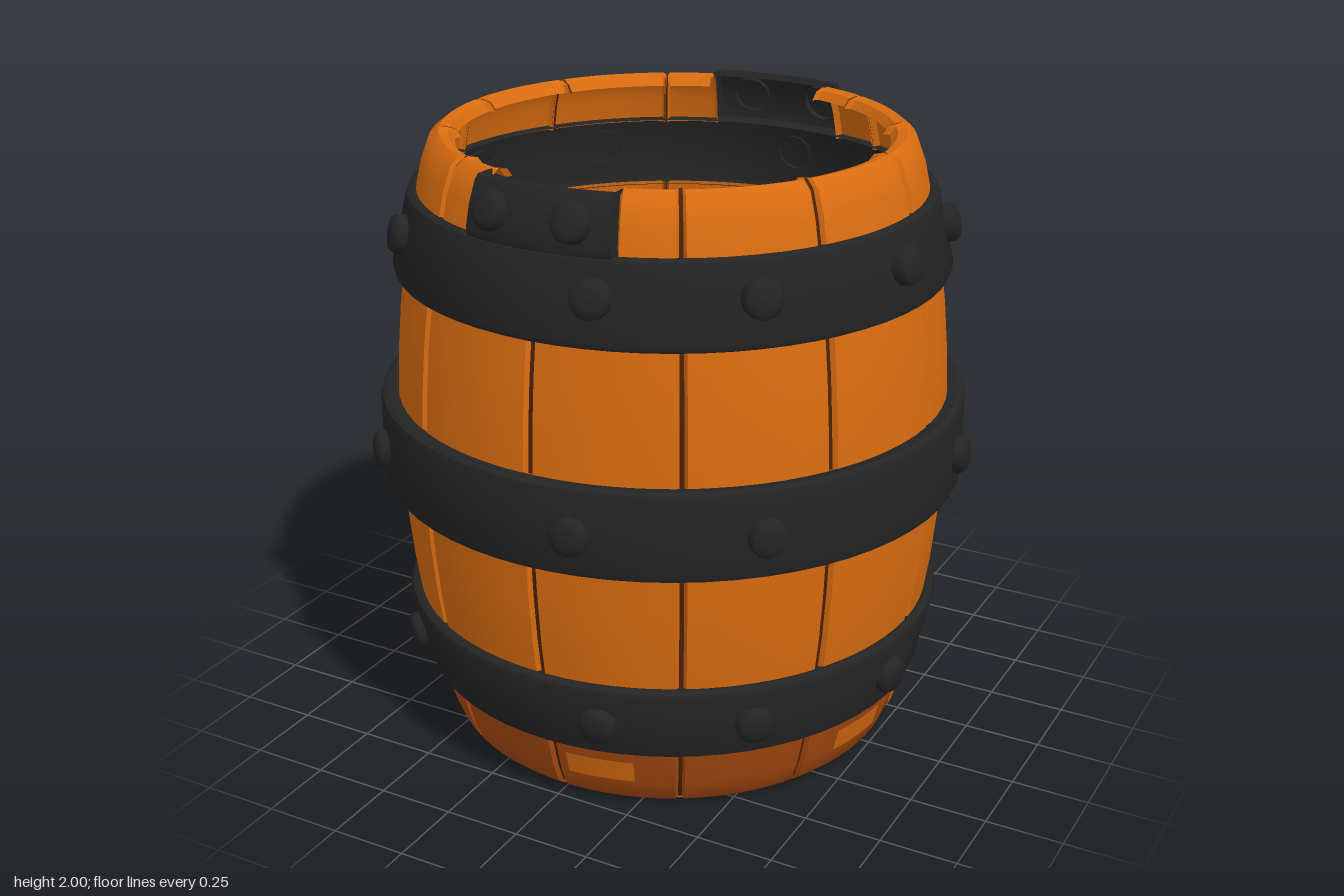
import * as THREE from 'three';
import { toCreasedNormals } from 'three/addons/utils/BufferGeometryUtils.js';

const Z0 = -0.02; // barrel axis
const rad = THREE.MathUtils.degToRad;

const material = (name, color, side = THREE.DoubleSide) => {
  const m = new THREE.MeshStandardMaterial({ color, side });
  m.name = name;
  return m;
};

// Sweeps a bottom-to-top [radius, y] profile around the axis at the given columns [degrees, inset]
function sweep(profile, columns) {
  const pos = [], index = [], n = profile.length;
  for (const [deg, inset] of columns) {
    const a = rad(deg);
    for (const [r, y] of profile) pos.push(Math.sin(a) * (r - inset), y, Math.cos(a) * (r - inset));
  }
  for (let c = 0; c < columns.length - 1; c++) {
    for (let i = 0; i < n - 1; i++) {
      const p = c * n + i, q = p + n;
      index.push(p, q, q + 1, p, q + 1, p + 1);
    }
  }
  const g = new THREE.BufferGeometry();
  g.setAttribute('position', new THREE.Float32BufferAttribute(pos, 3));
  g.setIndex(index);
  return toCreasedNormals(g, 0.6);
}

// Evenly spaced columns, with optional inset edges that round off the ends
function columns(a0, a1, steps, edge = 0, bevel = 1) {
  const list = edge ? [[a0, edge]] : [];
  const s = edge ? a0 + bevel : a0, e = edge ? a1 - bevel : a1;
  for (let i = 0; i <= steps; i++) list.push([s + ((e - s) * i) / steps, 0]);
  if (edge) list.push([a1, edge]);
  return list;
}

export function createModel() {
  const wood = material('orange wood', 0xd96c10);
  const darkWood = material('dark wood', 0xa84a10);
  const seam = material('seam brown', 0x4a2008);
  const iron = material('black iron', 0x242424);

  const model = new THREE.Group();
  model.name = 'barrel';
  const barrel = new THREE.Group();
  barrel.name = 'barrelBody';
  barrel.position.z = Z0;
  model.add(barrel);

  const add = (name, geometry, mat) => {
    const mesh = new THREE.Mesh(geometry, mat);
    mesh.name = name;
    barrel.add(mesh);
    return mesh;
  };

  // Stave sections between the iron bands
  const sections = [
    { name: 'staveFoot', mat: darkWood, profile: [[0.6, 0.012], [0.68, 0], [0.715, 0.006], [0.742, 0.03], [0.77, 0.1], [0.805, 0.235]] },
    { name: 'lowerStave', mat: wood, profile: [[0.85, 0.475], [0.868, 0.6], [0.882, 0.75], [0.89, 0.895]] },
    { name: 'upperStave', mat: wood, profile: [[0.89, 1.16], [0.882, 1.3], [0.868, 1.45], [0.85, 1.58]] },
    { name: 'staveRim', mat: wood, rim: true, profile: [[0.805, 1.81], [0.785, 1.9], [0.757, 1.975], [0.725, 2], [0.695, 1.992], [0.675, 1.965]] },
  ];
  for (const { name, mat, rim, profile } of sections) {
    const groove = profile.map(([r, y]) => [r - 0.015, y]);
    for (let k = 0; k < 12; k++) {
      let a0 = k * 30 + 0.25, a1 = k * 30 + 29.75;
      // The rim is cut away behind the two brackets
      if (rim && k % 6 === 0) a0 += 16.5;
      if (rim && k % 6 === 5) a1 -= 16.5;
      add(name, sweep(profile, columns(a0, a1, 6, 0.02, 0.8)), mat);
      if (!rim || k % 6 !== 0) add(name + 'Seam', sweep(groove, columns(k * 30 - 0.5, k * 30 + 0.5, 1)), seam);
    }
  }

  // Worn bright patches on the stave feet
  for (const [a0, a1] of [[2, 21], [68, 87], [92, 116]]) {
    const cols = columns(a0 + 1.5, a1 - 1.5, 5);
    add('wornPatch', sweep([[0.778, 0.105], [0.8, 0.185]], cols), wood);
  }

  // Floor in four quarters, marked by crossed joints and short cracks
  const floor = add('floor', new THREE.CircleGeometry(0.72, 48), darkWood);
  floor.rotation.x = -Math.PI / 2;
  floor.position.y = 0.014;
  for (const turn of [0, 90]) {
    const joint = add('floorJoint', new THREE.BoxGeometry(1.38, 0.009, 0.014), seam);
    joint.rotation.y = rad(turn);
    joint.position.y = 0.014;
  }
  for (let k = 0; k < 12; k++) {
    if (k % 3 === 0) continue;
    const a = rad(k * 30);
    const crack = add('floorCrack', new THREE.BoxGeometry(0.006, 0.008, 0.16), seam);
    crack.rotation.y = a;
    crack.position.set(Math.sin(a) * 0.6, 0.012, Math.cos(a) * 0.6);
  }

  // Domed rivet, facing outward at the given angle
  const rivetGeometry = new THREE.LatheGeometry(
    [[0.062, -0.015], [0.061, 0.02], [0.052, 0.034], [0.03, 0.04], [0, 0.042]].map(([x, y]) => new THREE.Vector2(x, y)), 12);
  function rivet(deg, r, y, tilt = 0) {
    const a = rad(deg);
    const m = add('rivet', rivetGeometry, iron);
    m.rotation.order = 'YXZ';
    m.rotation.set(Math.PI / 2 - tilt, a, 0);
    m.position.set(Math.sin(a) * r, y, Math.cos(a) * r);
  }

  // Iron bands with softened edges: [bottom y, top y, bottom radius, top radius, rivet angles]
  const bands = [
    ['lowerBand', 0.225, 0.487, 0.835, 0.885, [-46, 13, 45, 81, 135, 178, 225, 260]],
    ['middleBand', 0.883, 1.172, 0.947, 0.947, [-45, 10, 45, 99, 140, 182, 221, 261]],
    ['upperBand', 1.567, 1.828, 0.885, 0.835, [-46, 13, 45, 80, 111, 137, 178, 225, 260]],
  ];
  for (const [name, y0, y1, r0, r1, angles] of bands) {
    const profile = [[r0 - 0.06, y0 + 0.008], [r0 - 0.022, y0], [r0 - 0.006, y0 + 0.008], [r0, y0 + 0.025],
      [r1, y1 - 0.025], [r1 - 0.006, y1 - 0.008], [r1 - 0.022, y1], [r1 - 0.06, y1 - 0.008]];
    add(name, sweep(profile, columns(0, 360, 64)), iron);
    const tilt = Math.atan2(r0 - r1, y1 - y0);
    for (const a of angles) rivet(a, (r0 + r1) / 2, (y0 + y1) / 2 - 0.005 + (name === 'upperBand' ? 0.025 : 0), tilt);
  }

  // Rim brackets at front and back
  const bracketProfile = [[0.8, 1.822], [0.835, 1.826], [0.84, 1.85], [0.825, 1.92], [0.8, 1.985], [0.788, 2], [0.765, 2], [0.755, 1.985]];
  for (const turn of [0, 180]) {
    add('rimBracket', sweep(bracketProfile, columns(turn - 17.3, turn + 17.3, 8, 0.04, 0.9)), iron);
    for (const d of [-10.2, 8.4]) rivet(turn + d, 0.82, 1.918, 0.32);
  }

  return model;
}
